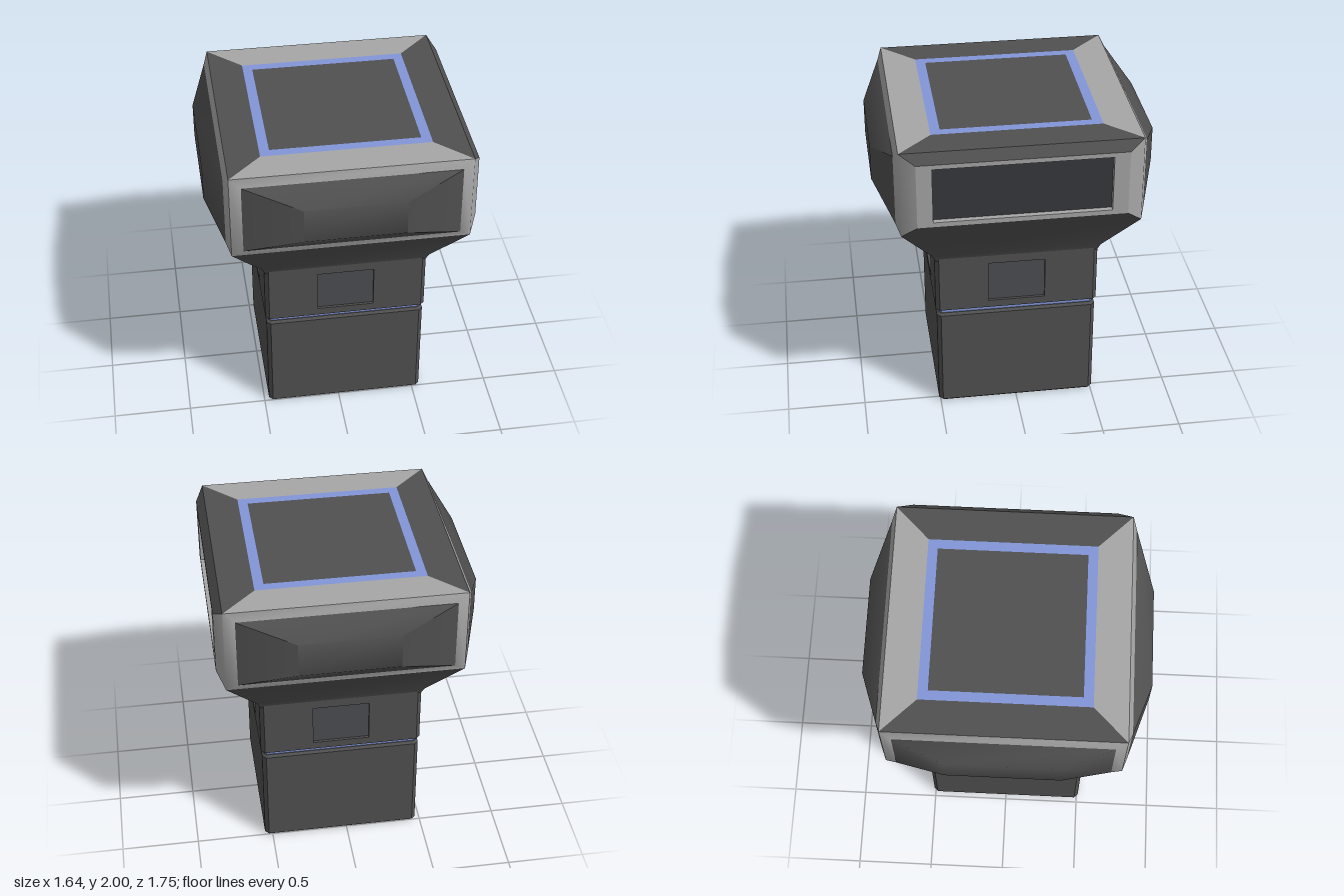
import * as THREE from 'three';
import { toCreasedNormals } from 'three/addons/utils/BufferGeometryUtils.js';

const mat = (color) => new THREE.MeshStandardMaterial({ color, roughness: 0.8 });
const dark = mat(0x505050);
const light = mat(0xa6a6a6);
const blue = mat(0x8296d8);
const glass = mat(0x37383d);
const button = mat(0x4b4e52);

// Quads with corners counter-clockwise from outside
function quadMesh(name, quads, material, crease = 0.8) {
  const pos = quads.flatMap(([a, b, c, d]) => [a, b, c, a, c, d].flat());
  let geo = new THREE.BufferGeometry();
  geo.setAttribute('position', new THREE.Float32BufferAttribute(pos, 3));
  geo.computeVertexNormals();
  if (crease) geo = toCreasedNormals(geo, crease);
  const mesh = new THREE.Mesh(geo, material);
  mesh.name = name;
  return mesh;
}

// Quads bridging two four-cornered loops
const strip = (outer, inner) =>
  outer.map((p, i) => [p, outer[(i + 1) % 4], inner[(i + 1) % 4], inner[i]]);

// Rectangle facing +z: half width, bottom, top, depth; order starts at bottom left
const rect = (w, y0, y1, d) => [[-w, y0, d], [w, y0, d], [w, y1, d], [-w, y1, d]];

// Turn a loop to side k: 0 front, 1 right (+x), 2 back, 3 left (-x)
const turn = (loop, k) => loop.map(([x, y, z]) =>
  [[x, y, z], [z, y, -x], [-x, y, -z], [-z, y, x]][k]);

// Square ring with chamfered corners, optional notch half width and depth
function outline(h, c, notch = 0, depth = 0) {
  const side = [[-(h - c), h]];
  if (notch) side.push([-notch, h], [-notch, h - depth], [notch, h - depth], [notch, h]);
  side.push([h - c, h]);
  const pts = [];
  for (let k = 0; k < 4; k++)
    for (const p of side) pts.push([p, [p[1], -p[0]], [-p[0], -p[1]], [-p[1], p[0]]][k]);
  return pts;
}

// Upright prism over an outline
function prism(name, pts, y0, y1, material, bevel = 0) {
  const shape = new THREE.Shape(pts.map(([x, y]) => new THREE.Vector2(x, y)));
  const geo = new THREE.ExtrudeGeometry(shape, {
    depth: y1 - y0 - 2 * bevel, bevelEnabled: bevel > 0,
    bevelThickness: bevel, bevelSize: bevel, bevelOffset: -bevel, bevelSegments: 1,
  });
  geo.rotateX(-Math.PI / 2).translate(0, y0 + bevel, 0);
  const mesh = new THREE.Mesh(geo, material);
  mesh.name = name;
  return mesh;
}

export function createModel() {
  const model = new THREE.Group();
  model.name = 'model';
  model.position.x = 0.04;

  // Base, glowing band and neck with recessed buttons
  model.add(prism('base', outline(0.51, 0.025), 0, 0.695, dark, 0.015));
  model.add(prism('band', outline(0.49, 0.01), 0.69, 0.735, blue));
  const neck = new THREE.Group();
  neck.name = 'neck';
  neck.add(prism('neckLower', outline(0.517, 0.025), 0.73, 0.78, dark));
  neck.add(prism('neckMiddle', outline(0.517, 0.025, 0.18, 0.018), 0.78, 1.06, dark));
  neck.add(prism('neckUpper', outline(0.517, 0.025), 1.06, 1.15, dark));
  for (let k = 0; k < 4; k++)
    neck.add(quadMesh('button', [turn(rect(0.18, 0.78, 1.06, 0.5), k)], button));
  model.add(neck);

  // Flared funnel from neck to head
  const funnel = [];
  for (let k = 0; k < 4; k++) {
    const level = (h, y) => turn([[-h, y, h], [h, y, h]], k);
    const levels = [level(0.51, 1.1), level(0.53, 1.15), level(0.73, 1.44)];
    for (let i = 0; i < 2; i++) {
      const [a, b] = levels[i], [c, d] = levels[i + 1];
      funnel.push([a, b, d, c]);
    }
  }
  model.add(quadMesh('funnel', funnel, dark, 0.3));

  // Head: bevelled frame around each side
  const head = new THREE.Group();
  head.name = 'head';
  const frame = [], darkFrame = [];
  for (let k = 0; k < 4; k++) {
    const outer = turn(rect(0.73, 1.44, 2, 0.73), k);
    if (k === 1) {
      // Recessed window on the right side
      const rim = turn(rect(0.635, 1.52, 1.94, 0.78), k);
      const opening = turn(rect(0.54, 1.55, 1.91, 0.78), k);
      const pane = turn(rect(0.54, 1.55, 1.91, 0.745), k);
      strip(outer, rim).forEach((q, i) => (i % 2 ? frame : darkFrame).push(q));
      head.add(quadMesh('windowFrame', strip(rim, opening), light));
      head.add(quadMesh('windowReveal', strip(opening, pane), light));
      head.add(quadMesh('window', [pane], glass));
    } else {
      // Bulging cover on the other sides
      const left = k === 3;
      const edge = turn(rect(0.66, 1.49, 1.95, 0.757), k);
      const crown = turn(rect(left ? 0.355 : 0.31, 1.61, 1.835, left ? 0.86 : 0.875), k);
      frame.push(...strip(outer, edge));
      head.add(quadMesh('bulge', [...strip(edge, crown), crown], dark));
    }
  }
  head.add(quadMesh('sideFrame', frame, light));
  head.add(quadMesh('windowBevel', darkFrame, dark));

  // Top: mitred border, blue ring and centre panel
  const square = (h) => [[-h, 2, h], [h, 2, h], [h, 2, -h], [-h, 2, -h]];
  const border = strip(square(0.73), square(0.52));
  head.add(quadMesh('topBorderFrontBack', [border[0], border[2]], light));
  head.add(quadMesh('topBorderSides', [border[1], border[3]], dark));
  head.add(quadMesh('topRing', strip(square(0.52), square(0.46)), blue));
  head.add(quadMesh('topPanel', [square(0.46)], dark));
  model.add(head);

  const root = new THREE.Group();
  root.add(model);
  return root;
}
